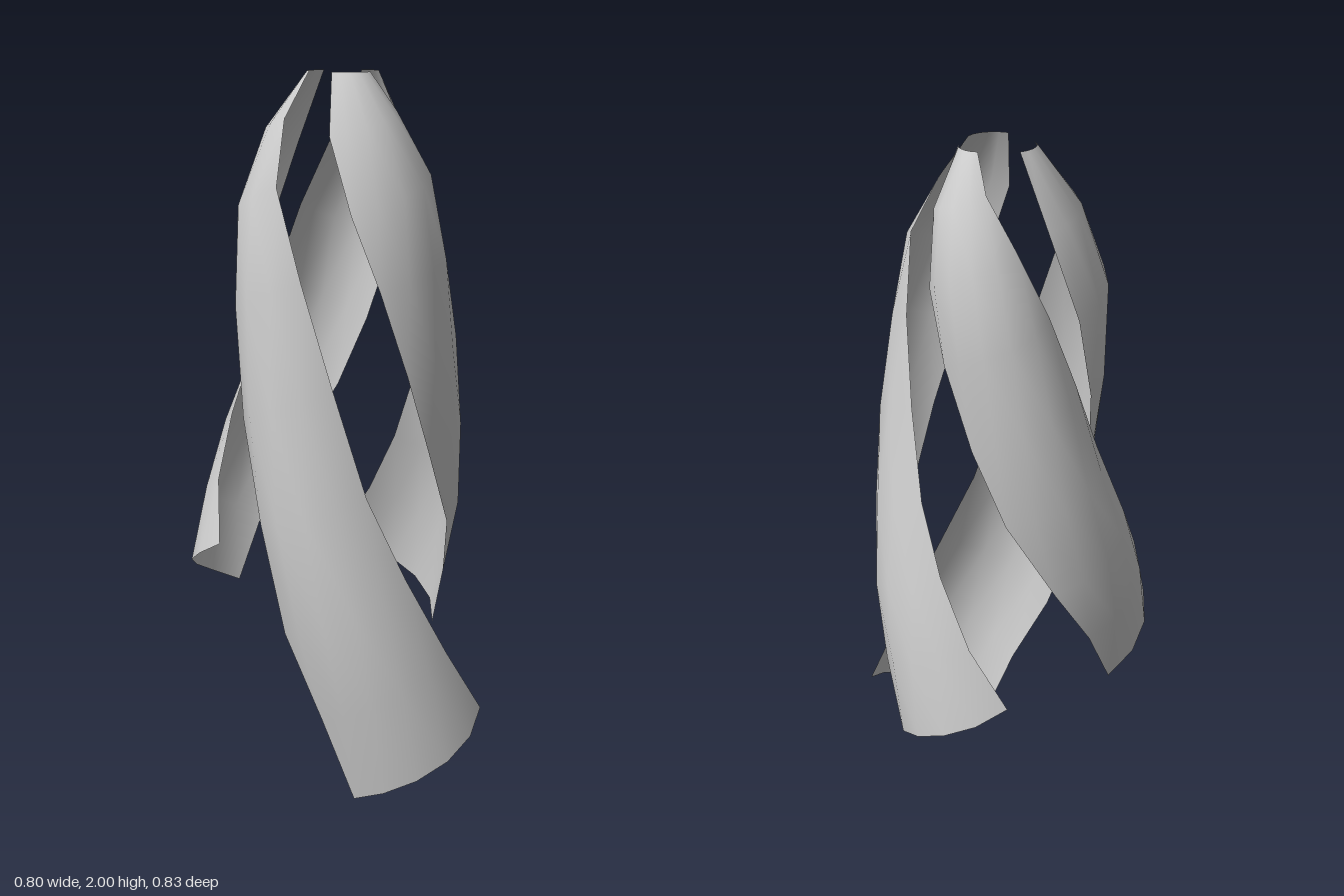
import * as THREE from 'three';

// Blade outline from tip to free end: angle (deg), radius and drop below the tip
const LOWER = {
  angle: [150, 141, 123, 105, 86, 67, 42, 21, 5],
  radius: [0.105, 0.18, 0.23, 0.248, 0.257, 0.265, 0.288, 0.293, 0.3],
  drop: [0, 0.16, 0.36, 0.56, 0.8, 1.03, 1.27, 1.47, 1.67],
};
const UPPER = {
  angle: [83, 66, 46, 26, 7, -10, -27, -44, -61],
  radius: [0.086, 0.15, 0.21, 0.223, 0.238, 0.265, 0.297, 0.335, 0.367],
  drop: [0, 0.1, 0.24, 0.44, 0.67, 0.91, 1.1, 1.29, 1.46],
};
// Outward bow of each cross-section
const BOW = [0.007, 0.035, 0.05, 0.056, 0.06, 0.06, 0.056, 0.054, 0.058];
const ACROSS = 5;
const AXIS = { x: 0.03, z: -0.045 };
const mix = THREE.MathUtils.lerp;

// Angle, radius and height of one edge at row j; scale runs from tip to free end
function edgePoint(edge, { turn, drop, scale }, j) {
  const s = mix(scale[0], scale[1], j / (BOW.length - 1));
  return { angle: edge.angle[j] + turn, radius: edge.radius[j] * s, y: 2 - edge.drop[j] * drop, s };
}

// One curved, twisting blade spanning its lower and upper edges
function bladeGeometry(lower, upper) {
  const positions = [];
  const index = [];
  for (let j = 0; j < BOW.length; j++) {
    const p = edgePoint(LOWER, lower, j);
    const q = edgePoint(UPPER, upper, j);
    for (let i = 0; i <= ACROSS; i++) {
      const u = i / ACROSS;
      const angle = THREE.MathUtils.degToRad(mix(p.angle, q.angle, u));
      const radius = mix(p.radius, q.radius, u) + BOW[j] * mix(p.s, q.s, u) * 4 * u * (1 - u);
      positions.push(
        AXIS.x + radius * Math.cos(angle), mix(p.y, q.y, u), AXIS.z + radius * Math.sin(angle));
      if (j < BOW.length - 1 && i < ACROSS) {
        const a = j * (ACROSS + 1) + i;
        const b = a + ACROSS + 1;
        index.push(a, b, a + 1, b, b + 1, a + 1);
      }
    }
  }
  const geometry = new THREE.BufferGeometry();
  geometry.setAttribute('position', new THREE.Float32BufferAttribute(positions, 3));
  geometry.setIndex(index);
  geometry.computeVertexNormals();
  return geometry;
}

export function createModel() {
  const group = new THREE.Group();
  group.name = 'spiralBlades';
  const material = new THREE.MeshStandardMaterial({ color: 0xcccccc, side: THREE.DoubleSide });

  // Three blades of different length spiralling round one upright axis
  const blades = [
    {
      name: 'longBlade',
      lower: { turn: 117, drop: 1.2, scale: [1.05, 1.12] },
      upper: { turn: 126, drop: 1.215, scale: [1.24, 1.2] },
    },
    {
      name: 'middleBlade',
      lower: { turn: 0, drop: 1, scale: [1, 1] },
      upper: { turn: 0, drop: 1, scale: [1, 1] },
    },
    {
      name: 'shortBlade',
      lower: { turn: 231, drop: 0.91, scale: [0.8, 1.2] },
      upper: { turn: 244, drop: 0.87, scale: [1.07, 1.15] },
    },
  ];
  for (const { name, lower, upper } of blades) {
    const mesh = new THREE.Mesh(bladeGeometry(lower, upper), material);
    mesh.name = name;
    group.add(mesh);
  }
  return group;
}
